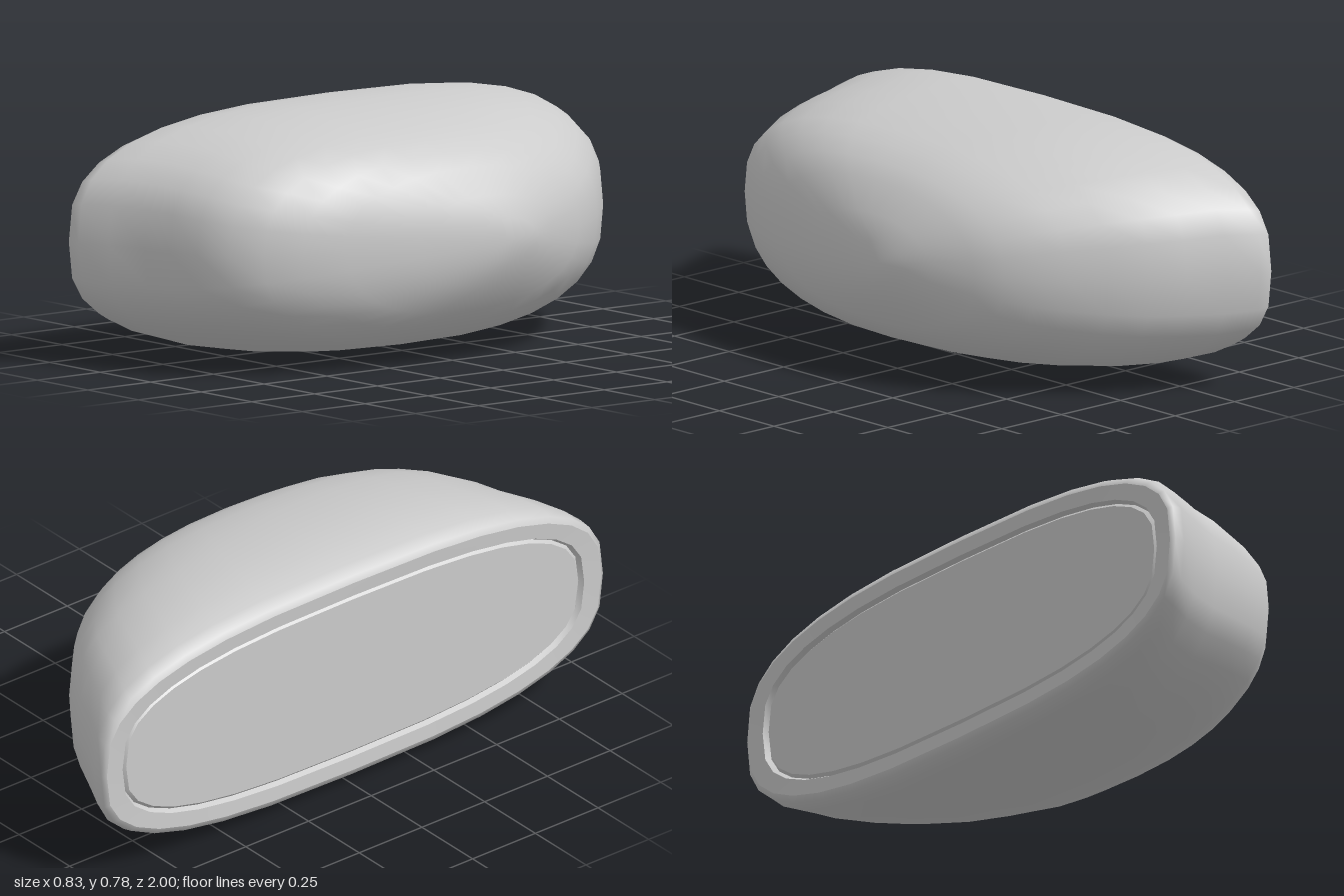
import * as THREE from 'three';
import { mergeVertices } from 'three/addons/utils/BufferGeometryUtils.js';

const SEGMENTS = 32;
const MID_Y = 0.39;

// Skin through rounded-oblong rings; each section is [x, zBack, zFront, halfHeight, squareness]
function loft(sections) {
  const positions = [];
  const index = [];
  const power = (v, n) => Math.sign(v) * Math.pow(Math.abs(v), 2 / n);
  sections.forEach(([x, zBack, zFront, half, n], row) => {
    for (let i = 0; i < SEGMENTS; i++) {
      const a = (i / SEGMENTS) * Math.PI * 2;
      const z = (zBack + zFront) / 2 + ((zFront - zBack) / 2) * power(Math.cos(a), n);
      positions.push(x, MID_Y + half * power(Math.sin(a), n), z);
      if (row === 0) continue;
      const j = (i + 1) % SEGMENTS;
      const p = (row - 1) * SEGMENTS;
      const q = row * SEGMENTS;
      index.push(p + i, q + i, p + j, q + i, q + j, p + j);
    }
  });
  const geometry = new THREE.BufferGeometry();
  geometry.setAttribute('position', new THREE.Float32BufferAttribute(positions, 3));
  geometry.setIndex(index);
  const welded = mergeVertices(geometry);
  welded.computeVertexNormals();
  return welded;
}

export function createModel() {
  const group = new THREE.Group();
  const material = new THREE.MeshStandardMaterial({ color: 0xcccccc });
  const add = (name, sections) => {
    const mesh = new THREE.Mesh(loft(sections), material);
    mesh.name = name;
    group.add(mesh);
  };

  // Rings shared by the flat side, from the panel outwards
  const panelEdge = [-0.405, -0.9, 0.9, 0.27, 2.9];
  const grooveFloor = [-0.395, -0.91, 0.91, 0.28, 2.9];
  const rimInner = [-0.412, -0.92, 0.92, 0.288, 2.9];
  const rimOuter = [-0.415, -0.985, 0.985, 0.335, 2.9];

  // Bulging housing, from the rim to the domed tip
  add('housing', [
    rimOuter,
    [-0.405, -1.0, 1.0, 0.355, 2.9],
    [-0.365, -0.995, 0.995, 0.375, 2.9],
    [-0.27, -0.945, 0.95, 0.39, 2.9],
    [-0.15, -0.89, 0.905, 0.388, 2.8],
    [-0.05, -0.835, 0.885, 0.375, 2.8],
    [0.05, -0.76, 0.855, 0.36, 2.7],
    [0.15, -0.67, 0.81, 0.333, 2.6],
    [0.22, -0.6, 0.725, 0.308, 2.5],
    [0.28, -0.52, 0.62, 0.27, 2.4],
    [0.33, -0.44, 0.48, 0.225, 2.3],
    [0.385, -0.29, 0.24, 0.14, 2.2],
    [0.412, -0.21, 0.02, 0.065, 2],
    [0.42, -0.1, -0.1, 0, 2],
  ]);

  // Flat border, narrow groove and inset panel on the flat side
  add('rim', [rimInner, rimOuter]);
  add('grooveOuterWall', [grooveFloor, rimInner]);
  add('grooveInnerWall', [panelEdge, grooveFloor]);
  add('panel', [[-0.405, 0, 0, 0, 2.9], panelEdge]);

  return group;
}
